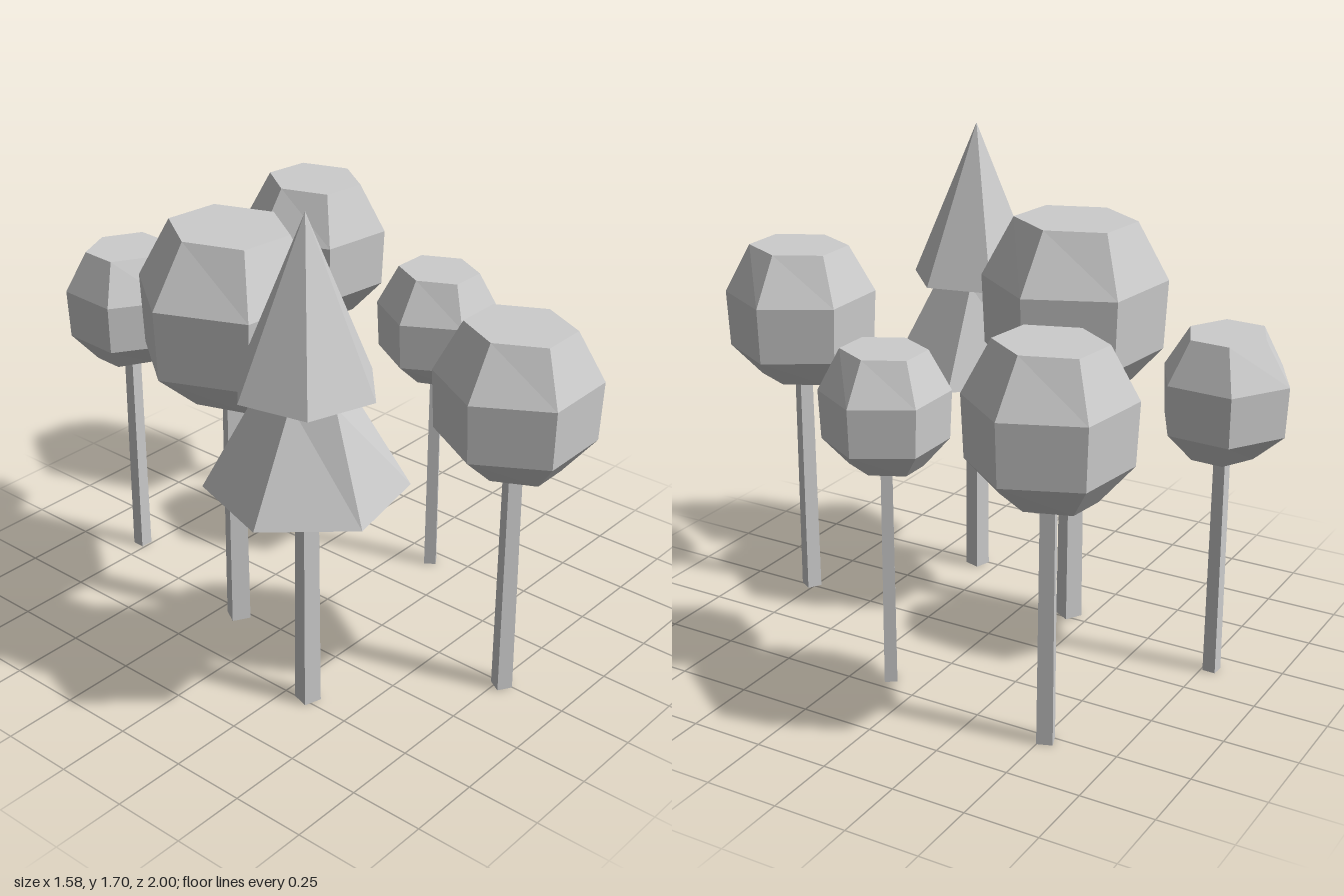
import * as THREE from 'three';

const grey = new THREE.MeshStandardMaterial({ color: 0xcccccc });
grey.name = 'plain grey';

// Flat-faced mesh with a name
function part(name, geometry, y = 0, yaw = 0) {
  const flat = geometry.toNonIndexed();
  flat.computeVertexNormals();
  const mesh = new THREE.Mesh(flat, grey);
  mesh.name = name;
  mesh.position.y = y;
  mesh.rotation.y = yaw;
  return mesh;
}

// Six-sided closed solid from rings [y, radius along x, radius along z], bottom to top
function hexSolid(rings, phiStart = 0) {
  const index = [0, ...rings.keys(), rings.length - 1];
  const last = index.length - 1;
  const profile = index.map((r, i) => new THREE.Vector2(i === 0 || i === last ? 0 : 1, rings[r][0]));
  const geometry = new THREE.LatheGeometry(profile, 6, phiStart);
  const pos = geometry.attributes.position;
  for (let i = 0; i < pos.count; i++) {
    const [, rx, rz] = rings[index[i % index.length]];
    pos.setX(i, pos.getX(i) * rx);
    pos.setZ(i, pos.getZ(i) * rz);
  }
  return geometry;
}

// Square trunk, slightly tapered
function trunk(radius, height, yaw) {
  return part('trunk', new THREE.CylinderGeometry(radius * 0.88, radius, height, 4), height / 2, yaw);
}

// Round tree: faceted ball crown on a thin trunk
function roundTree({ x, z, r, bottom, top, yaw, trunkR, trunkYaw }) {
  const tree = new THREE.Group();
  tree.name = 'roundTree';
  tree.position.set(x, 0, z);
  const h = top - bottom;
  const crown = hexSolid([
    [bottom, r * 0.49, r * 0.59],
    [bottom + h * 0.235, r * 0.965, r * 0.965],
    [bottom + h * 0.65, r, r],
    [top, r * 0.6, r * 0.68],
  ], Math.PI / 2);
  tree.add(part('crown', crown, 0, yaw), trunk(trunkR, bottom + 0.03, trunkYaw));
  return tree;
}

// Pointed tree: two stacked six-sided tiers
function pineTree(x, z) {
  const tree = new THREE.Group();
  tree.name = 'pineTree';
  tree.position.set(x, 0, z);
  const lower = hexSolid([[0.8, 0.32, 0.32], [1.14, 0.12, 0.17]]);
  const upper = new THREE.ConeGeometry(0.235, 0.555, 6);
  tree.add(
    part('lowerTier', lower, 0, -0.314),
    part('upperTier', upper, 1.14 + 0.555 / 2, 0.215),
    trunk(0.043, 0.84, 0.49),
  );
  return tree;
}

export function createModel() {
  const model = new THREE.Group();
  model.name = 'treeGrove';
  const roundTrees = [
    { x: -0.16, z: -0.78, r: 0.22, bottom: 0.79, top: 1.195, yaw: 1.525, trunkR: 0.032, trunkYaw: 0.75 },
    { x: -0.277, z: -0.173, r: 0.315, bottom: 0.885, top: 1.46, yaw: -0.11, trunkR: 0.046, trunkYaw: 0.26 },
    { x: 0.527, z: -0.515, r: 0.265, bottom: 0.83, top: 1.32, yaw: -0.13, trunkR: 0.037, trunkYaw: -0.44 },
    { x: 0.442, z: 0.12, r: 0.212, bottom: 0.775, top: 1.165, yaw: 0, trunkR: 0.03, trunkYaw: -0.2 },
    { x: -0.01, z: 0.768, r: 0.262, bottom: 0.83, top: 1.305, yaw: 0.02, trunkR: 0.037, trunkYaw: 0.25 },
  ];
  for (const spec of roundTrees) model.add(roundTree(spec));
  model.add(pineTree(-0.482, 0.33));
  return model;
}
